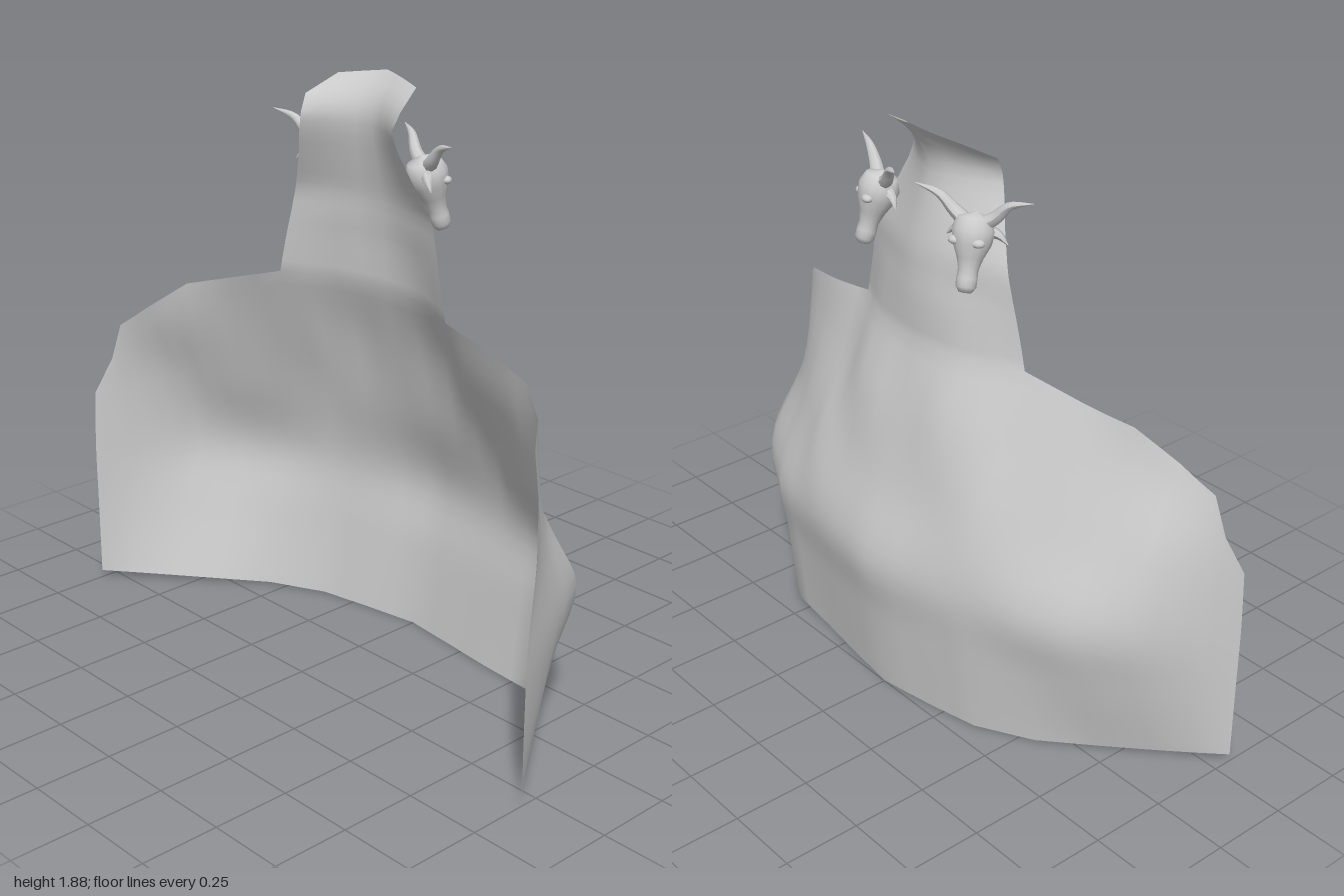
import * as THREE from 'three';
import { mergeGeometries, mergeVertices } from 'three/addons/utils/BufferGeometryUtils.js';

const cloth = new THREE.MeshStandardMaterial({ color: 0xcccccc, side: THREE.DoubleSide });
const bone = new THREE.MeshStandardMaterial({ color: 0xcccccc });

// Value of the curve through (knots, vals); knots ascend.
function curveAt(knots, vals, v, smooth = true) {
  const n = knots.length;
  let i = 0;
  while (i < n - 2 && v > knots[i + 1]) i++;
  const h = knots[i + 1] - knots[i];
  const t = THREE.MathUtils.clamp((v - knots[i]) / h, 0, 1);
  if (!smooth) return vals[i] + (vals[i + 1] - vals[i]) * t;
  const slope = (k) => {
    const a = Math.max(k - 1, 0), b = Math.min(k + 1, n - 1);
    return (vals[b] - vals[a]) / (knots[b] - knots[a]);
  };
  const t2 = t * t, t3 = t2 * t;
  return (2 * t3 - 3 * t2 + 1) * vals[i] + (t3 - 2 * t2 + t) * h * slope(i)
    + (3 * t2 - 2 * t3) * vals[i + 1] + (t3 - t2) * h * slope(i + 1);
}

// Sheet over a list of columns, v from 0 at the top to 1 at the bottom.
function sheet(columns, nv, f) {
  const pos = [], index = [], n = columns.length;
  for (let j = 0; j <= nv; j++)
    for (const x of columns) pos.push(...f(x, j / nv));
  for (let j = 0; j < nv; j++)
    for (let i = 0; i < n - 1; i++) {
      const a = j * n + i, b = a + n;
      index.push(a, b, a + 1, a + 1, b, b + 1);
    }
  const g = new THREE.BufferGeometry();
  g.setAttribute('position', new THREE.Float32BufferAttribute(pos, 3));
  g.setIndex(index);
  return g;
}

// Depth of the cloth: one row per height, one value per x.
const xs = [-1, -0.92, -0.82, -0.7, -0.55, -0.37, -0.2, 0, 0.2, 0.37, 0.57, 0.75, 0.84, 0.91, 1];
const ys = [0, 0.3, 0.5, 0.75, 1.0, 1.2];
const depth = [
  [0.31, 0.24, 0.152, 0.046, -0.085, -0.18, -0.215, -0.248, -0.224, -0.2, -0.178, 0.015, 0.12, 0.2, 0.31],
  [0.31, 0.18, 0.05, -0.06, -0.14, -0.215, -0.25, -0.285, -0.265, -0.24, -0.21, -0.09, 0.01, 0.12, 0.31],
  [0.31, 0.16, 0, -0.1, -0.175, -0.23, -0.27, -0.315, -0.295, -0.27, -0.23, -0.14, -0.08, 0.08, 0.305],
  [0.3, 0.19, 0.07, 0, -0.09, -0.18, -0.215, -0.235, -0.225, -0.21, -0.12, -0.01, 0.07, 0.15, 0.28],
  [0.3, 0.255, 0.19, 0.1, 0, -0.08, -0.165, -0.165, -0.17, -0.08, -0.02, 0.05, 0.11, 0.2, 0.28],
  [0.3, 0.27, 0.22, 0.14, 0.08, 0, -0.085, -0.11, -0.085, 0, 0.03, 0.07, 0.12, 0.2, 0.28],
];
const clothZ = (x, y) => curveAt(ys, depth.map((row) => curveAt(xs, row, x, false)), y);

// Body of the cape, from the shoulder line down to the hem.
const shoulderX = [-1, -0.92, -0.7, -0.37, 0.37, 0.75, 0.91, 1];
const shoulderY = [0.69, 0.94, 1.11, 1.2, 1.2, 1.13, 1.01, 0.75];
const columns = [-1, -0.96, -0.92, -0.87, -0.82, -0.76, -0.7, -0.63, -0.55, -0.46, -0.37, -0.3, -0.2, -0.1, 0,
  0.1, 0.2, 0.3, 0.37, 0.43, 0.5, 0.57, 0.63, 0.69, 0.75, 0.8, 0.84, 0.88, 0.91, 0.95, 1];
function bodyPoint(x, v) {
  const top = curveAt(shoulderX, shoulderY, x, false);
  const y = THREE.MathUtils.lerp(top, 0.025 * x * x, v);
  return [x, y, clothZ(x, y)];
}

// High collar: edge height, half width, middle depth, edge depth, rise in the middle.
const neckT = [0, 0.2, 0.42, 0.6, 0.72, 0.8, 0.9, 1];
const neckY = [1.2, 1.34, 1.49, 1.61, 1.7, 1.75, 1.8, 1.855];
const neckW = [0.37, 0.337, 0.3, 0.245, 0.21, 0.198, 0.205, 0.168];
const neckMid = [-0.11, -0.107, -0.095, -0.07, -0.052, -0.05, -0.068, -0.115];
const neckEdge = [0, -0.005, -0.01, 0.025, 0.052, 0.055, 0.03, -0.07];
const neckRise = [0, 0, 0, 0, 0, 0.005, 0.012, 0.025];
function collarPoint(column, v) {
  const s = column / 0.37, t = 1 - v;
  const at = (vals) => curveAt(neckT, vals, t, false);
  const x = s * at(neckW);
  const bend = THREE.MathUtils.lerp(at(neckMid), at(neckEdge), Math.abs(s) ** 1.4);
  const z = THREE.MathUtils.lerp(clothZ(column, 1.2), bend, Math.min(t / 0.3, 1));
  return [x, at(neckY) + at(neckRise) * (1 - Math.abs(s)), z];
}

// Tube that narrows to a point.
function taperedTube(points, radius, steps, sides) {
  const path = new THREE.CatmullRomCurve3(points.map((p) => new THREE.Vector3(...p)));
  const g = new THREE.TubeGeometry(path, steps, radius, sides);
  const p = g.attributes.position, v = new THREE.Vector3();
  for (let i = 0; i < p.count; i++) {
    const t = Math.floor(i / (sides + 1)) / steps;
    const c = path.getPointAt(t);
    v.fromBufferAttribute(p, i).sub(c).multiplyScalar(1 - 0.95 * t ** 1.5).add(c);
    p.setXYZ(i, v.x, v.y, v.z);
  }
  g.computeVertexNormals();
  return g;
}

// Horned goat head, facing +z before it is turned.
function goatHead(name) {
  const head = new THREE.Group();
  head.name = name;
  const add = (part, geometry) => {
    const m = new THREE.Mesh(geometry, bone);
    m.name = part;
    head.add(m);
    return m;
  };
  const profile = [[0, -0.195], [0.02, -0.192], [0.031, -0.175], [0.031, -0.15], [0.03, -0.125],
    [0.04, -0.09], [0.058, -0.05], [0.064, -0.01], [0.05, 0.025], [0, 0.042]];
  const skull = add('skull', new THREE.LatheGeometry(profile.map((p) => new THREE.Vector2(...p)), 14));
  skull.rotation.x = -0.3;

  for (const side of [-1, 1]) {
    add('horn', taperedTube([[side * 0.02, 0.005, 0], [side * 0.065, 0.035, -0.005],
      [side * 0.11, 0.078, 0], [side * 0.185, 0.1, 0.005]], 0.023, 12, 8));
    add('ear', taperedTube([[side * 0.035, -0.01, -0.01], [side * 0.07, -0.025, -0.02],
      [side * 0.098, -0.05, -0.02]], 0.02, 6, 6));
    const brow = add('brow', new THREE.SphereGeometry(0.022, 10, 8));
    brow.position.set(side * 0.036, -0.03, 0.05);
    brow.scale.set(1, 0.6, 0.8);
  }
  return head;
}

export function createModel() {
  const model = new THREE.Group();
  model.name = 'hornedCape';

  // Body and collar joined into one smooth cloth
  const collarColumns = columns.filter((x) => Math.abs(x) <= 0.37);
  const capeGeometry = mergeVertices(mergeGeometries([
    sheet(columns, 24, bodyPoint), sheet(collarColumns, 20, collarPoint)]));
  capeGeometry.computeVertexNormals();
  const cape = new THREE.Mesh(capeGeometry, cloth);
  cape.name = 'capeWithCollar';
  model.add(cape);

  // Heads hang behind the collar, turned back and outward
  for (const side of [-1, 1]) {
    const head = goatHead(side > 0 ? 'leftGoatHead' : 'rightGoatHead');
    head.position.set(side * 0.215, 1.625, -0.065);
    head.rotation.y = side * (Math.PI - 0.41);
    model.add(head);
  }
  return model;
}
